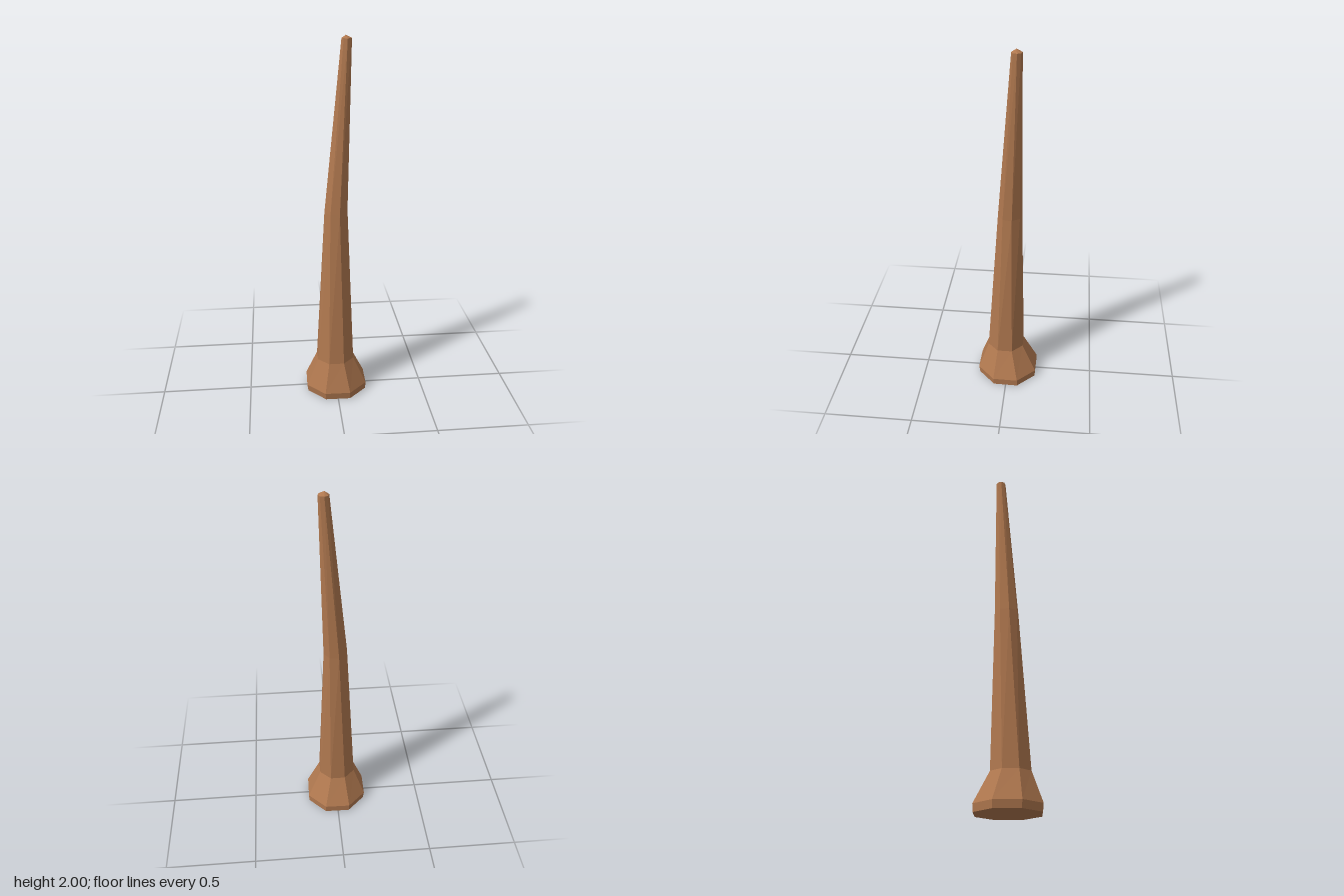
import * as THREE from 'three';

const SIDES = 8;

// Faceted skin through a stack of rings, closed by a point at each end
function loft(rings, bottom, top) {
  const pos = [...bottom];
  for (const { x, y, z, r, turn } of rings) {
    for (let i = 0; i < SIDES; i++) {
      const a = THREE.MathUtils.degToRad(turn) + (i / SIDES) * Math.PI * 2;
      pos.push(x + r * Math.cos(a), y, z + r * Math.sin(a));
    }
  }
  pos.push(...top);
  const apex = pos.length / 3 - 1;
  const at = (k, i) => 1 + k * SIDES + (i % SIDES);
  const last = rings.length - 1;
  const index = [];
  for (let i = 0; i < SIDES; i++) {
    index.push(0, at(0, i), at(0, i + 1));
    for (let k = 0; k < last; k++) {
      index.push(at(k, i), at(k + 1, i), at(k, i + 1));
      index.push(at(k, i + 1), at(k + 1, i), at(k + 1, i + 1));
    }
    index.push(apex, at(last, i + 1), at(last, i));
  }
  const indexed = new THREE.BufferGeometry();
  indexed.setAttribute('position', new THREE.Float32BufferAttribute(pos, 3));
  indexed.setIndex(index);
  const geo = indexed.toNonIndexed();
  geo.computeVertexNormals();
  return geo;
}

export function createModel() {
  const group = new THREE.Group();
  group.name = 'woodenSpike';
  const wood = new THREE.MeshStandardMaterial({ color: 0xb0784f, flatShading: true });

  // Flared foot, then a bent, slightly twisted taper to a blunt tip
  const rings = [
    { x: 0.002, y: 0, z: -0.002, r: 0.18, turn: 23.5 },
    { x: 0, y: 0.04, z: 0, r: 0.184, turn: 23.5 },
    { x: -0.005, y: 0.2, z: 0.012, r: 0.11, turn: 22.5 },
    { x: 0.003, y: 1.08, z: -0.01, r: 0.066, turn: 32 },
    { x: 0.06, y: 1.985, z: -0.046, r: 0.027, turn: 40 },
  ];
  const shaft = new THREE.Mesh(loft(rings, [0, 0, 0], [0.055, 2, -0.043]), wood);
  shaft.name = 'shaft';
  group.add(shaft);
  return group;
}
